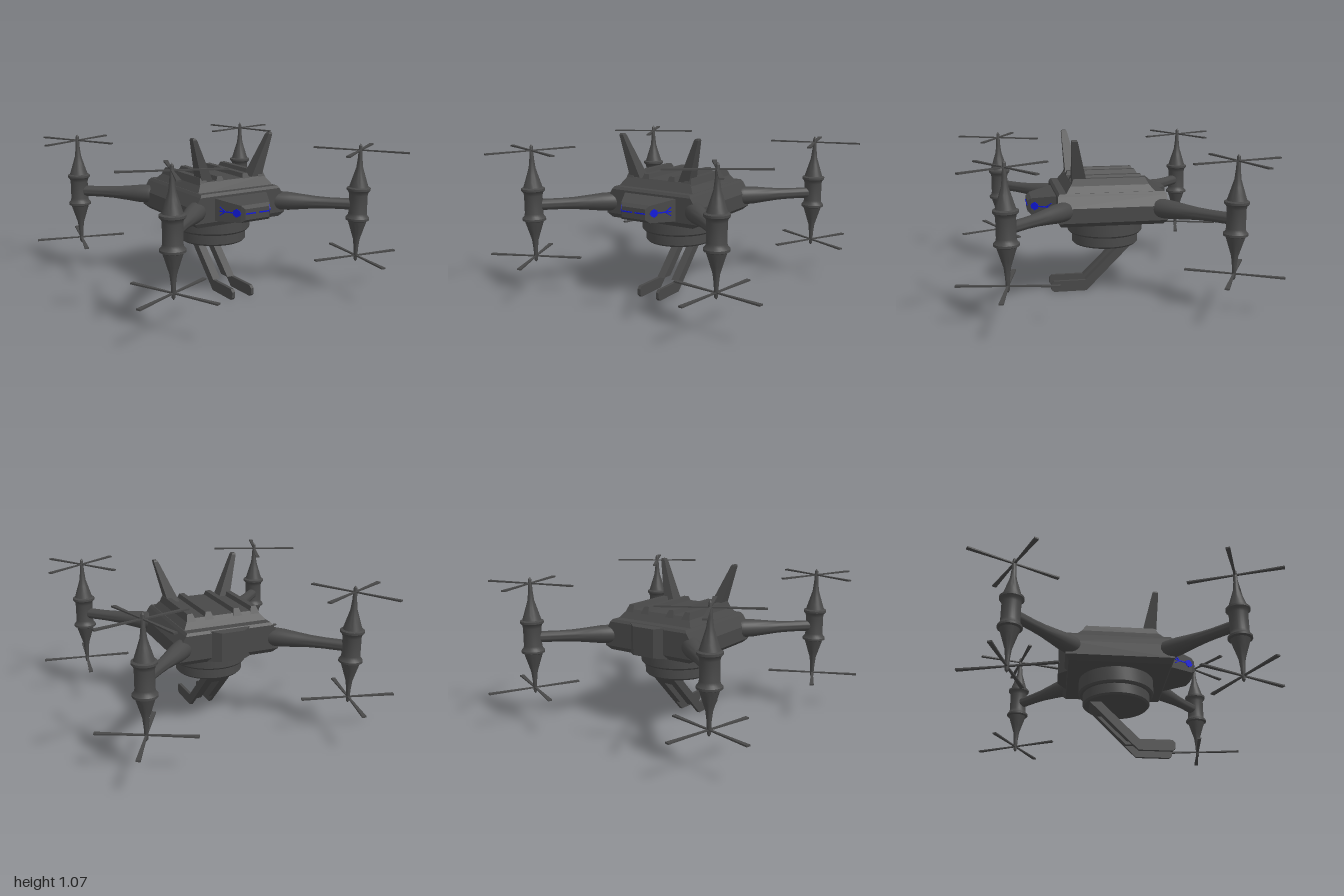
import * as THREE from 'three';
import { toCreasedNormals } from 'three/addons/utils/BufferGeometryUtils.js';
import { ConvexGeometry } from 'three/addons/geometries/ConvexGeometry.js';

const grey = new THREE.MeshStandardMaterial({ color: 0x484848 });
grey.name = 'dark grey';
const blue = new THREE.MeshStandardMaterial({ color: 0x1018dc });
blue.name = 'blue';

function add(parent, name, geometry, material = grey) {
  const mesh = new THREE.Mesh(geometry, material);
  mesh.name = name;
  parent.add(mesh);
  return mesh;
}

// Solid from corner points
const hull = (pts) => new ConvexGeometry(pts.map((p) => new THREE.Vector3(...p)));

// Corners of a rectangle lying flat at height y
const flatRect = (y, x0, x1, z0, z1) => [[x0, y, z0], [x1, y, z0], [x0, y, z1], [x1, y, z1]];

// Corners of an upright rectangle at depth z
const uprightRect = (z, w, y0, y1) => [[-w, y0, z], [w, y0, z], [-w, y1, z], [w, y1, z]];

// Turned solid, profile listed from bottom to top
const turned = (profile, sides = 28) => toCreasedNormals(
  new THREE.LatheGeometry(profile.map(([r, y]) => new THREE.Vector2(r, y)), sides), 0.6);

// Side profile in (z, y), given thickness along x starting at x0
function sideExtrude(points, x0, thickness) {
  const shape = new THREE.Shape(points.map(([z, y]) => new THREE.Vector2(-z, y)));
  const geo = new THREE.ExtrudeGeometry(shape, { depth: thickness, bevelEnabled: false });
  return geo.rotateY(Math.PI / 2).translate(x0, 0, 0);
}

function buildBody(model) {
  const body = new THREE.Group();
  body.name = 'body';
  model.add(body);
  add(body, 'hull', hull([
    ...flatRect(0.515, -0.315, 0.315, -0.335, 0.335),
    ...flatRect(0.545, -0.348, 0.348, -0.358, 0.353),
    ...flatRect(0.64, -0.348, 0.348, -0.358, 0.353),
    ...flatRect(0.71, -0.305, 0.305, -0.358, 0.353),
    ...flatRect(0.727, -0.292, 0.292, -0.345, 0.34),
  ]));
  add(body, 'topPlate', hull([
    ...flatRect(0.72, -0.292, 0.292, -0.29, 0.3),
    ...flatRect(0.785, -0.245, 0.245, -0.235, 0.255),
  ]));
  // Cooling ribs along the roof
  for (const x of [-0.225, -0.1, 0.1, 0.225]) {
    add(body, 'roofRib', hull([
      ...flatRect(0.75, x - 0.038, x + 0.038, -0.26, 0.27),
      ...flatRect(0.813, x - 0.018, x + 0.018, -0.225, 0.245),
    ]));
  }
  add(body, 'nose', hull([
    ...uprightRect(0.33, 0.211, 0.55, 0.7),
    ...uprightRect(0.51, 0.11, 0.56, 0.67),
    ...uprightRect(0.533, 0.09, 0.58, 0.65),
  ]));
  add(body, 'rearHousing', hull([
    ...uprightRect(-0.34, 0.15, 0.517, 0.723),
    ...uprightRect(-0.4, 0.08, 0.525, 0.715),
  ]));
  // Round turret under the body
  add(body, 'turret', turned([
    [0, 0.33], [0.215, 0.33], [0.227, 0.342], [0.227, 0.408], [0.244, 0.408],
    [0.255, 0.42], [0.255, 0.53], [0, 0.53],
  ], 40));
}

function buildEyes(model) {
  for (const s of [-1, 1]) {
    const eye = new THREE.Group();
    eye.name = s > 0 ? 'leftEye' : 'rightEye';
    eye.position.set(s * 0.124, 0.62, 0.487);
    eye.rotation.y = s * 1.06;
    model.add(eye);
    add(eye, 'eyeDisc', new THREE.CylinderGeometry(0.028, 0.028, 0.008, 6).rotateX(Math.PI / 2), blue);
    add(eye, 'eyeLine', new THREE.BoxGeometry(0.15, 0.008, 0.008).translate(s * 0.045, 0, 0), blue);
    // Forked ends
    for (const v of [-1, 1]) {
      const fork = add(eye, 'eyeFork', new THREE.BoxGeometry(0.045, 0.006, 0.008), blue);
      fork.position.set(s * 0.1, v * 0.014, 0);
      fork.rotation.z = s * v * 0.6;
    }
    add(model, 'noseLine', new THREE.BoxGeometry(0.075, 0.008, 0.008), blue)
      .position.set(s * 0.05, 0.62, 0.533);
  }
}

function buildAntennas(model) {
  for (const s of [-1, 1]) {
    add(model, 'antenna', hull([
      ...flatRect(0.76, s * 0.14, s * 0.225, 0.15, 0.25),
      ...flatRect(1.06, s * 0.275, s * 0.305, 0.222, 0.262),
      ...flatRect(1.07, s * 0.283, s * 0.303, 0.227, 0.258),
    ]));
  }
}

function buildGripper(model) {
  const gripper = new THREE.Group();
  gripper.name = 'gripper';
  model.add(gripper);
  const finger = [[0.365, 0.003], [0.14, 0.003], [-0.187, 0.335], [-0.11, 0.335],
    [0.147, 0.078], [0.365, 0.078], [0.383, 0.06], [0.383, 0.02]];
  const brace = [[0.066, 0.078], [-0.187, 0.335], [-0.11, 0.335], [0.147, 0.078]];
  for (const s of [-1, 1]) {
    add(gripper, 'fingerPlate', sideExtrude(finger, s > 0 ? 0.063 : -0.085, 0.022));
    add(gripper, 'fingerBrace', sideExtrude(brace, s > 0 ? 0.03 : -0.064, 0.034));
  }
  add(gripper, 'gripperBridge', sideExtrude(
    [[-0.123, 0.27], [-0.187, 0.335], [-0.11, 0.335], [-0.046, 0.27]], -0.035, 0.07));
}

// Four tapered blades on a hub
function buildPropeller(y, degrees) {
  const propeller = new THREE.Group();
  propeller.name = 'propeller';
  propeller.position.y = y;
  const blade = hull([
    ...flatRect(-0.004, 0, 0.002, -0.006, 0.006), ...flatRect(0.004, 0, 0.002, -0.006, 0.006),
    ...flatRect(-0.005, 0.308, 0.31, -0.014, 0.014), ...flatRect(0.005, 0.308, 0.31, -0.014, 0.014),
  ]);
  for (let i = 0; i < 4; i++) {
    add(propeller, 'blade', blade).rotation.y = THREE.MathUtils.degToRad(degrees + i * 90);
  }
  return propeller;
}

function buildRotors(model) {
  // Upper half of the motor pod, mirrored about its middle
  const half = [[0.06, 0.06], [0.064, 0.078], [0.077, 0.092], [0.077, 0.106], [0.062, 0.113],
    [0.05, 0.15], [0.036, 0.195], [0.022, 0.24], [0.015, 0.3], [0.011, 0.38], [0, 0.395]];
  const pod = turned([...half.map(([r, y]) => [r, -y]).reverse(), ...half]);
  const arm = turned([[0, 0.36], [0.04, 0.37], [0.058, 0.4], [0.063, 0.45], [0.06, 0.53],
    [0.05, 0.62], [0.041, 0.71], [0.037, 0.8], [0.037, 0.96]]).rotateX(Math.PI / 2);
  // Side, depth, upper and lower blade angles
  const rotors = [[-1, -1, 27, 75], [1, -1, 15, 63], [-1, 1, 68, 24], [1, 1, 33, 81]];
  for (const [sx, sz, upper, lower] of rotors) {
    const rotor = new THREE.Group();
    rotor.name = 'rotor';
    rotor.position.set(sx * 0.69, 0.624, sz * 0.695);
    model.add(rotor);
    add(rotor, 'motorPod', pod);
    rotor.add(buildPropeller(0.353, upper), buildPropeller(-0.353, lower));
    const strut = add(model, 'arm', arm);
    strut.position.y = 0.618;
    strut.rotation.y = Math.atan2(sx, sz);
  }
}

export function createModel() {
  const model = new THREE.Group();
  model.name = 'quadcopter';
  buildBody(model);
  buildEyes(model);
  buildAntennas(model);
  buildGripper(model);
  buildRotors(model);
  return model;
}
